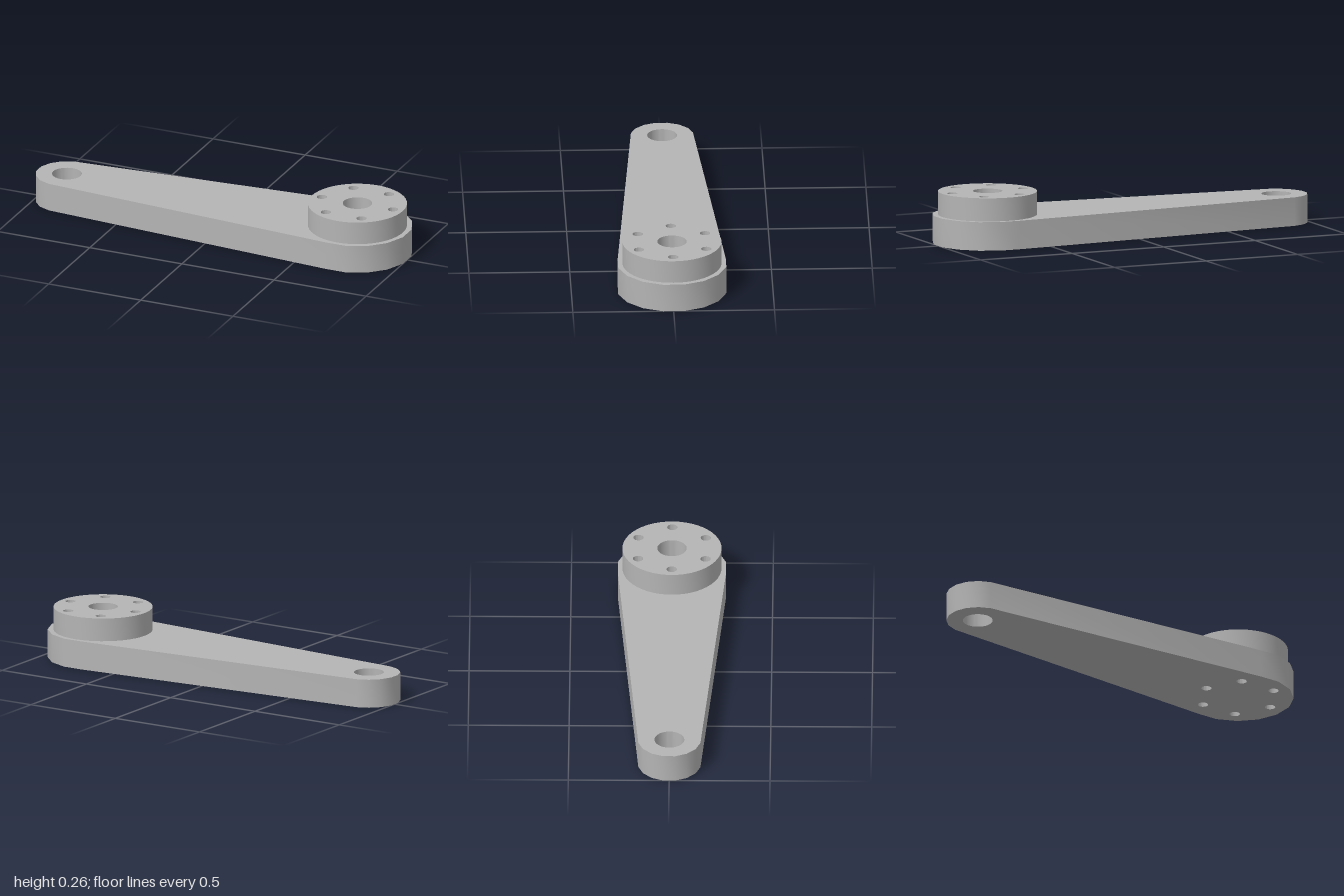
import * as THREE from 'three';
import { toCreasedNormals } from 'three/addons/utils/BufferGeometryUtils.js';

const HUB_X = 0.73, EYE_X = -0.846;
const ARM_H = 0.143, HUB_H = 0.116;

// Circular hole path
function hole(x, z, r) {
  const path = new THREE.Path();
  path.absarc(x, z, r, 0, Math.PI * 2, true);
  return path;
}

// Six bolt holes around the hub centre
function boltHoles() {
  return Array.from({ length: 6 }, (_, i) => {
    const a = i * Math.PI / 3;
    return hole(HUB_X + 0.193 * Math.cos(a), 0.193 * Math.sin(a), 0.0255);
  });
}

// Arc of a 16-sided end, given by its flat-to-centre distance
function facetedEnd(cx, flat, firstStep, count) {
  const r = flat / Math.cos(Math.PI / 16);
  return Array.from({ length: count }, (_, i) => {
    const a = (firstStep + i + 0.5) * Math.PI / 8;
    return new THREE.Vector2(cx + r * Math.cos(a), r * Math.sin(a));
  });
}

// Extrude a plan shape upwards from height y
function plate(name, shape, y, height, material) {
  const raw = new THREE.ExtrudeGeometry(shape, { depth: height, bevelEnabled: false, curveSegments: 24 });
  raw.rotateX(-Math.PI / 2);
  const mesh = new THREE.Mesh(toCreasedNormals(raw, 0.5), material);
  mesh.name = name;
  mesh.position.y = y;
  return mesh;
}

export function createModel() {
  const group = new THREE.Group();
  group.name = 'leverArm';
  const metal = new THREE.MeshStandardMaterial({ color: 0xb4b4b4 });
  metal.name = 'grey metal';

  // Tapered arm with faceted round ends, an eye hole and bolt holes
  const armShape = new THREE.Shape([
    ...facetedEnd(HUB_X + 0.002, 0.268, -5, 10),
    ...facetedEnd(EYE_X, 0.154, 4, 8),
  ]);
  armShape.holes.push(hole(-0.847, 0, 0.074), ...boltHoles());
  group.add(plate('arm', armShape, 0, ARM_H, metal));

  // Round hub with a central bore that stops at the arm
  const hubShape = new THREE.Shape();
  hubShape.absarc(HUB_X, 0, 0.246, 0, Math.PI * 2, false);
  hubShape.holes.push(hole(HUB_X, 0, 0.073), ...boltHoles());
  group.add(plate('hub', hubShape, ARM_H, HUB_H, metal));

  return group;
}
